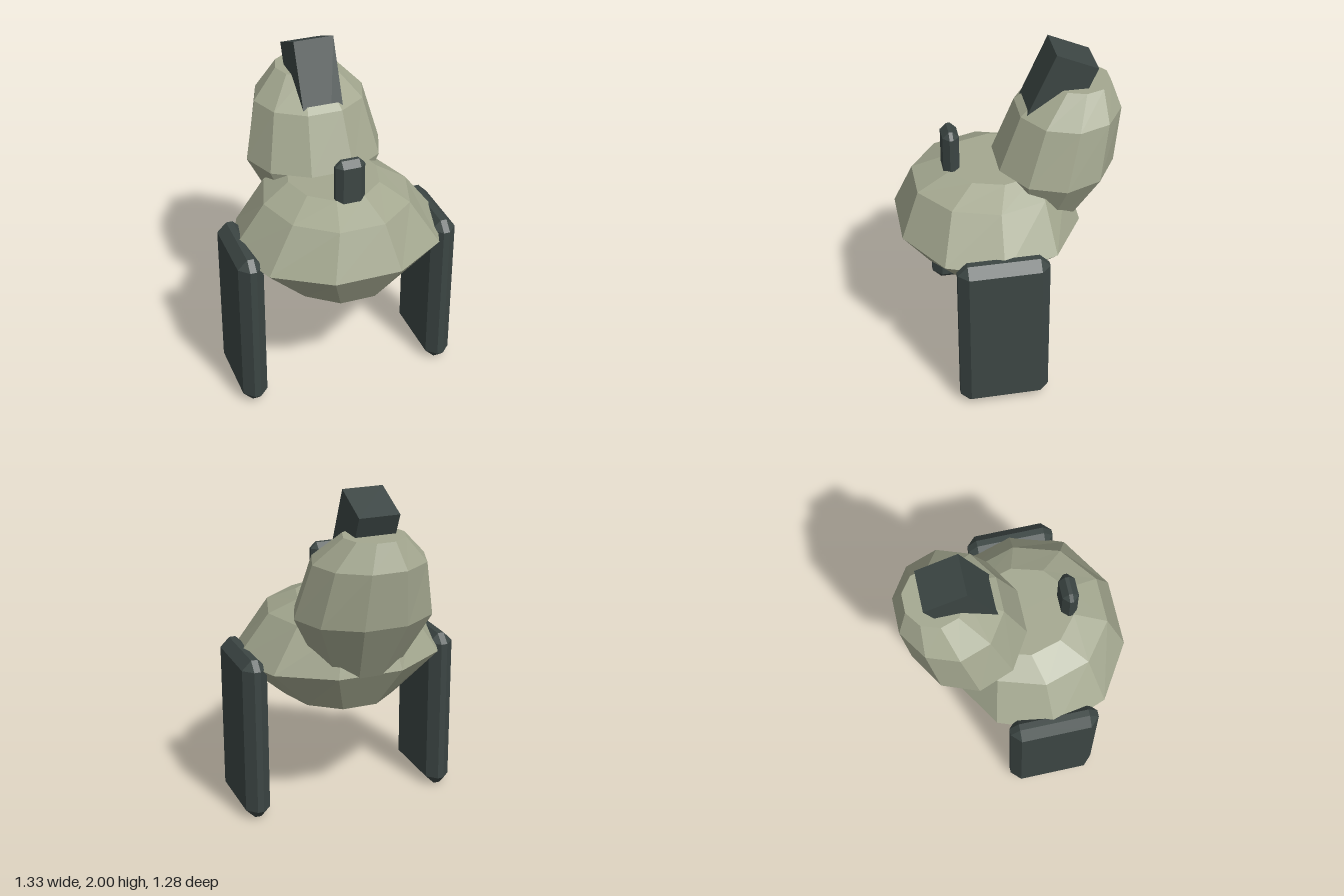
import * as THREE from 'three';
import { ConvexGeometry } from 'three/addons/geometries/ConvexGeometry.js';

const tan = new THREE.MeshStandardMaterial({ color: 0xa4a890, flatShading: true });
const dark = new THREE.MeshStandardMaterial({ color: 0x3c4644, flatShading: true });
const SIDES = 10;

// Faceted solid from decagon rings, bottom to top: [y, half width, half depth, centre z]
function loft(rings) {
  const points = [], index = [];
  for (const [y, rx, rz, cz] of rings) {
    for (let j = 0; j < SIDES; j++) {
      const a = ((j + 0.5) / SIDES) * Math.PI * 2;
      points.push(rx * Math.sin(a), y, cz + (rz * Math.cos(a)) / Math.cos(Math.PI / SIDES));
    }
  }
  const last = rings.length - 1;
  for (let i = 0; i < last; i++) {
    for (let j = 0; j < SIDES; j++) {
      const k = (j + 1) % SIDES;
      const a = i * SIDES + j, b = i * SIDES + k;
      index.push(a, b, b + SIDES, a, b + SIDES, a + SIDES);
    }
  }
  // End caps
  for (let j = 1; j < SIDES - 1; j++) {
    index.push(0, j + 1, j);
    index.push(last * SIDES, last * SIDES + j, last * SIDES + j + 1);
  }
  const geometry = new THREE.BufferGeometry();
  geometry.setAttribute('position', new THREE.Float32BufferAttribute(points, 3));
  geometry.setIndex(index);
  const flat = geometry.toNonIndexed();
  flat.computeVertexNormals();
  return flat;
}

// Box with every edge cut at 45 degrees
function chamferBox(w, h, d, c) {
  const corners = [];
  for (const x of [-1, 1]) for (const y of [-1, 1]) for (const z of [-1, 1]) {
    const X = w / 2, Y = h / 2, Z = d / 2;
    corners.push(
      new THREE.Vector3(x * X, y * (Y - c), z * (Z - c)),
      new THREE.Vector3(x * (X - c), y * Y, z * (Z - c)),
      new THREE.Vector3(x * (X - c), y * (Y - c), z * Z)
    );
  }
  return new ConvexGeometry(corners);
}

export function createModel() {
  const model = new THREE.Group();
  const add = (name, geometry, material, x = 0, y = 0, z = 0) => {
    const mesh = new THREE.Mesh(geometry, material);
    mesh.name = name;
    mesh.position.set(x, y, z);
    model.add(mesh);
    return mesh;
  };

  // Wide body
  add('body', loft([
    [0.68, 0.34, 0.355, 0.125],
    [0.94, 0.637, 0.52, 0.125],
    [1.205, 0.435, 0.43, 0.11],
    [1.29, 0.27, 0.29, 0.06],
  ]), tan);

  // Rear hump leaning backwards
  add('hump', loft([
    [0.93, 0.23, 0.19, -0.2],
    [1.29, 0.415, 0.333, -0.267],
    [1.62, 0.335, 0.29, -0.35],
    [1.775, 0.18, 0.168, -0.418],
  ]), tan);

  // Slanted bar running through hump and body
  const length = 1.36, tilt = Math.atan2(0.155, 0.35);
  const bar = add('slantedBar', new THREE.BoxGeometry(0.24, length, 0.262), dark, 0,
    1.9475 - (length / 2) * Math.cos(tilt), -0.375 + (length / 2) * Math.sin(tilt));
  bar.rotation.x = -tilt;

  // Small front peg
  add('frontPeg', chamferBox(0.176, 0.48, 0.094, 0.036), dark, 0, 1.293, 0.33);

  // Slab legs
  for (const side of [-1, 1]) {
    add(side > 0 ? 'leftLeg' : 'rightLeg', chamferBox(0.15, 1.005, 0.525, 0.056), dark,
      side * 0.59, 0.5025, 0.127);
  }
  return model;
}
